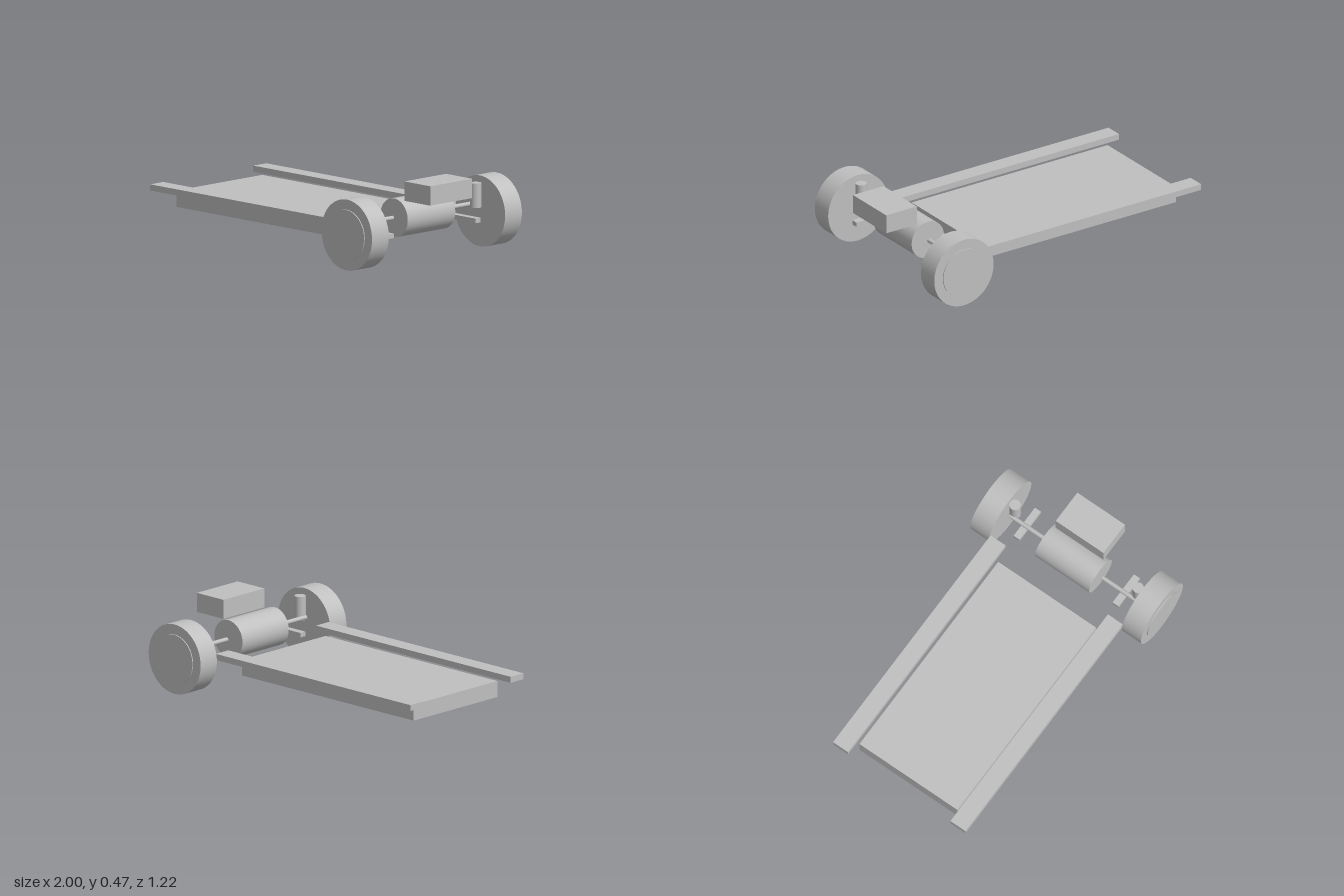
import * as THREE from 'three';

export function createModel() {
  const model = new THREE.Group();
  model.name = 'vehicleChassis';
  const grey = new THREE.MeshStandardMaterial({ color: 0xbfbfbf });
  grey.name = 'plain grey';

  const add = (name, geometry, x, y, z) => {
    const mesh = new THREE.Mesh(geometry, grey);
    mesh.name = name;
    mesh.position.set(x, y, z);
    model.add(mesh);
    return mesh;
  };
  // Box given by its extents along each axis
  const box = (name, [x0, x1], [y0, y1], [z0, z1]) =>
    add(name, new THREE.BoxGeometry(x1 - x0, y1 - y0, z1 - z0),
      (x0 + x1) / 2, (y0 + y1) / 2, (z0 + z1) / 2);
  // Cylinder lying along z
  const axle = (name, r, x, y, z0, z1) =>
    add(name, new THREE.CylinderGeometry(r, r, z1 - z0, 64).rotateX(Math.PI / 2),
      x, y, (z0 + z1) / 2);

  // Battery pack, drive motor and the control box above it
  box('batteryPack', [-0.909, 0.466], [0.115, 0.211], [-0.347, 0.347]);
  axle('motor', 0.113, 0.725, 0.251, -0.192, 0.192);
  box('inverter', [0.786, 1], [0.355, 0.469], [-0.169, 0.169]);

  // Mirrored rails, suspension and wheels
  for (const [side, s] of [['left', 1], ['right', -1]]) {
    const span = (a, b) => (s > 0 ? [a, b] : [-b, -a]);
    box(side + 'Rail', [-1, 0.56], [0.215, 0.251], span(0.363, 0.469));
    box(side + 'ControlArm', [0.652, 0.864], [0.168, 0.195], span(0.33, 0.372));
    axle(side + 'DriveShaft', 0.013, 0.725, 0.251, ...span(0.205, 0.45));
    add(side + 'Strut', new THREE.CylinderGeometry(0.033, 0.033, 0.143, 32), 0.757, 0.306, s * 0.436);
    axle(side + 'Tyre', 0.208, 0.757, 0.208, ...span(0.47, 0.605));
    axle(side + 'Hub', 0.148, 0.757, 0.208, ...span(0.48, 0.611));
  }
  return model;
}
